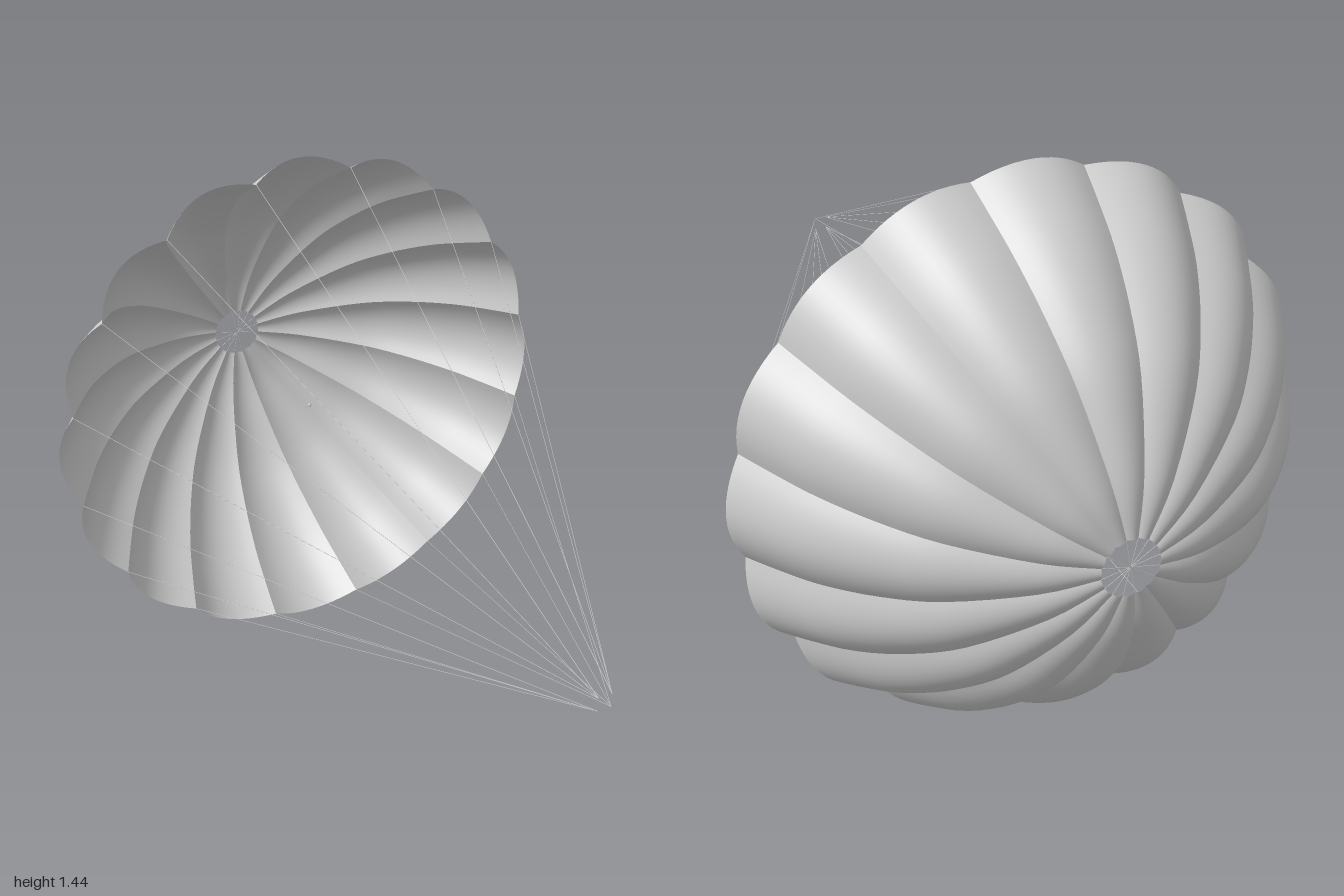
import * as THREE from 'three';
import { mergeGeometries } from 'three/addons/utils/BufferGeometryUtils.js';

const GORES = 16, HALF = Math.PI / GORES, CY = 0.72;
const ROWS = 24, COLS = 12, LINE_R = 0.0007;

// Centre line of a gore: x = radius, y = z position, vent to rim
const profile = new THREE.SplineCurve([
  [0.07, -0.994], [0.2, -0.967], [0.38, -0.882], [0.5, -0.785],
  [0.6, -0.673], [0.67, -0.567], [0.72, -0.483],
].map(([r, z]) => new THREE.Vector2(r, z)));

// Point on a gore: t runs vent to rim, u runs seam to seam (-1..1)
function gorePoint(t, u, angle) {
  const p = profile.getPoint(t), d = profile.getTangent(t);
  const bulge = 0.05 * p.x / 0.72;
  const nr = d.y, nz = -d.x; // outward normal in the profile plane
  const chord = p.x - bulge * nr;
  const drop = bulge * u * u;
  const radial = p.x - drop * nr, side = chord * Math.tan(HALF) * u;
  return new THREE.Vector3(
    radial * Math.cos(angle) - side * Math.sin(angle),
    CY + radial * Math.sin(angle) + side * Math.cos(angle),
    p.y - drop * nz);
}

// One billowed cloth panel, smooth inside with a crease at each seam
function gore(angle) {
  const pos = [], index = [];
  for (let i = 0; i <= ROWS; i++) {
    for (let j = 0; j <= COLS; j++) {
      pos.push(...gorePoint(i / ROWS, (j / COLS) * 2 - 1, angle).toArray());
      if (i < ROWS && j < COLS) {
        const a = i * (COLS + 1) + j, b = a + COLS + 1;
        index.push(a, a + 1, b, b, a + 1, b + 1);
      }
    }
  }
  const g = new THREE.BufferGeometry();
  g.setAttribute('position', new THREE.Float32BufferAttribute(pos, 3));
  g.setIndex(index);
  g.computeVertexNormals();
  return g;
}

// Thin cord between two points
function cord(a, b) {
  const dir = b.clone().sub(a);
  const g = new THREE.CylinderGeometry(LINE_R, LINE_R, dir.length(), 5);
  g.applyQuaternion(new THREE.Quaternion().setFromUnitVectors(
    new THREE.Vector3(0, 1, 0), dir.normalize()));
  const m = a.clone().add(b).multiplyScalar(0.5);
  return g.translate(m.x, m.y, m.z);
}

export function createModel() {
  const group = new THREE.Group();
  const cloth = new THREE.MeshStandardMaterial({ color: 0xcccccc, side: THREE.DoubleSide });
  const add = (name, geometry) => {
    const mesh = new THREE.Mesh(geometry, cloth);
    mesh.name = name;
    group.add(mesh);
  };

  const gores = [], lines = [], ventLines = [];
  for (let i = 0; i < GORES; i++) {
    const angle = i * 2 * HALF;
    gores.push(gore(angle));

    // Suspension line from each seam to one of four gathering points
    const rim = gorePoint(1, 1, angle);
    const end = new THREE.Vector3(Math.sign(rim.x) * 0.017, CY + Math.sign(rim.y - CY) * 0.017, 1);
    lines.push(cord(rim, end));

    // Cords crossing the vent
    if (i < GORES / 2) {
      ventLines.push(cord(gorePoint(0, 1, angle), gorePoint(0, 1, angle + Math.PI)));
    }
  }
  add('canopy', mergeGeometries(gores));
  add('suspensionLines', mergeGeometries(lines));
  add('ventLines', mergeGeometries(ventLines));

  // Tiny knot at the middle of the mouth
  add('centreKnot', new THREE.SphereGeometry(0.005, 8, 6).translate(0, CY, -0.465));
  return group;
}
